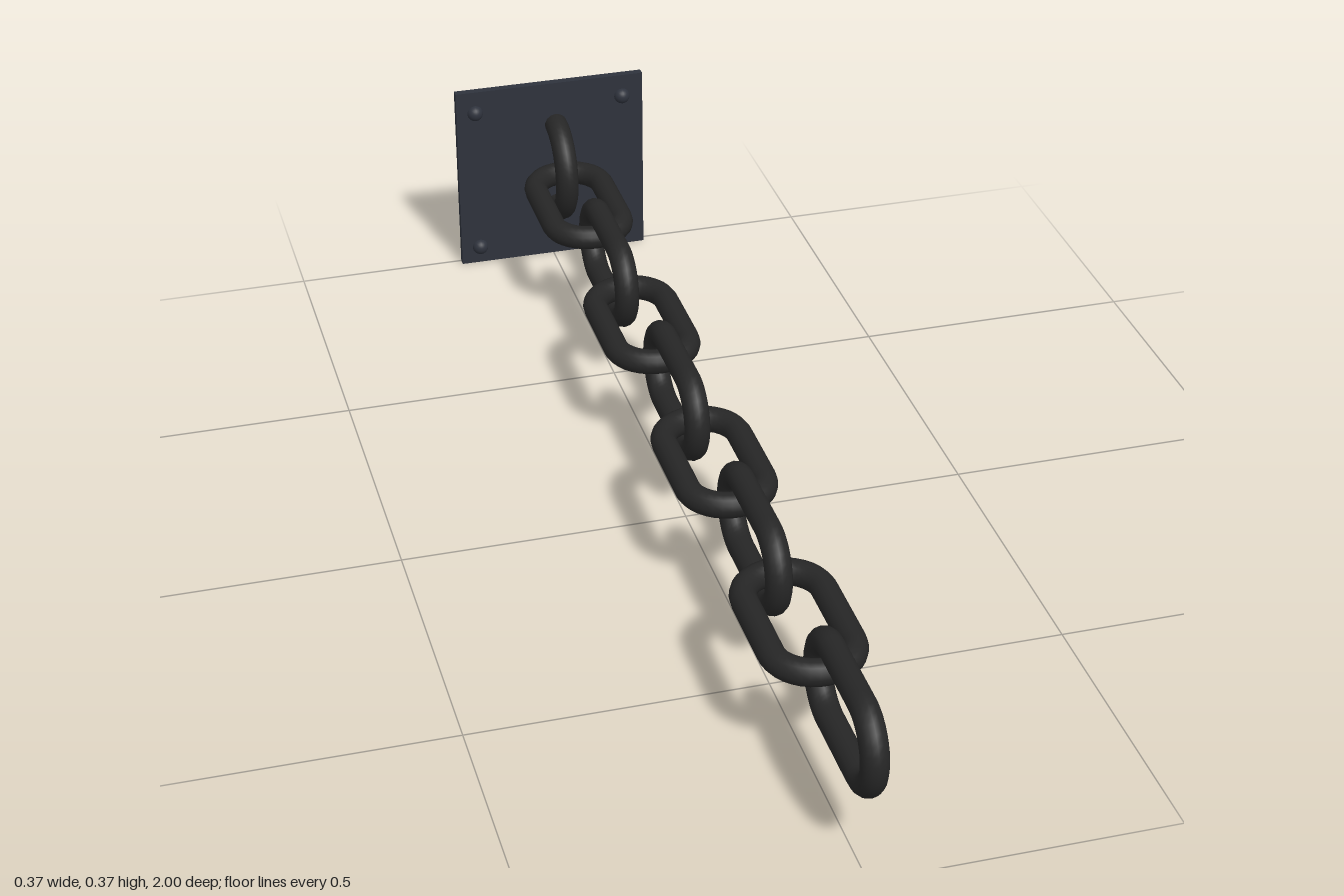
import * as THREE from 'three';

const CX = 0.011, CY = 0.195;   // chain axis
const WIRE = 0.022;             // wire radius
const BEND = 0.065;             // centreline radius of the link ends
const HALF = 0.071;             // half length of the straight sides
const PITCH = 0.236;

// Closed stadium path in the YZ plane
class LinkCurve extends THREE.Curve {
  getPoint(t, target = new THREE.Vector3()) {
    const arc = Math.PI * BEND, side = 2 * HALF;
    let d = (t % 1) * 2 * (arc + side);
    const sign = d < arc + side ? 1 : -1;
    if (sign < 0) d -= arc + side;
    let y, z;
    if (d < side) {
      y = BEND;
      z = -HALF + d;
    } else {
      const a = (d - side) / BEND;
      y = BEND * Math.cos(a);
      z = HALF + BEND * Math.sin(a);
    }
    return target.set(0, sign * y, sign * z);
  }
}

export function createModel() {
  const model = new THREE.Group();
  const iron = new THREE.MeshStandardMaterial({ color: 0x262626 });
  const steel = new THREE.MeshStandardMaterial({ color: 0x2e323c });

  const add = (name, geometry, material, x, y, z) => {
    const mesh = new THREE.Mesh(geometry, material);
    mesh.name = name;
    mesh.position.set(x, y, z);
    model.add(mesh);
    return mesh;
  };

  // Wall plate
  add('wallPlate', new THREE.BoxGeometry(0.37, 0.37, 0.015), steel, 0, 0.185, -0.9925);

  // Domed rivets in the plate corners
  const dome = new THREE.SphereGeometry(0.0155, 16, 8, 0, Math.PI * 2, 0, Math.PI / 2);
  dome.rotateX(Math.PI / 2);
  for (const sx of [-1, 1]) {
    for (const sy of [-1, 1]) {
      add('rivet', dome, steel, -0.002 + sx * 0.146, 0.18 + sy * 0.146, -0.986);
    }
  }

  // Half-ring staple standing out of the plate
  const staple = new THREE.TorusGeometry(0.087, WIRE, 14, 24, Math.PI);
  staple.rotateZ(-Math.PI / 2);
  staple.rotateY(-Math.PI / 2);
  add('staple', staple, iron, CX, CY, -0.986);

  // Chain of links, each turned a quarter from the last
  const link = new THREE.TubeGeometry(new LinkCurve(), 56, WIRE, 14, true);
  for (let i = 0; i < 8; i++) {
    const mesh = add('chainLink', link, iron, CX, CY, 0.842 - i * PITCH);
    if (i % 2) mesh.rotation.z = Math.PI / 2;
  }

  return model;
}
